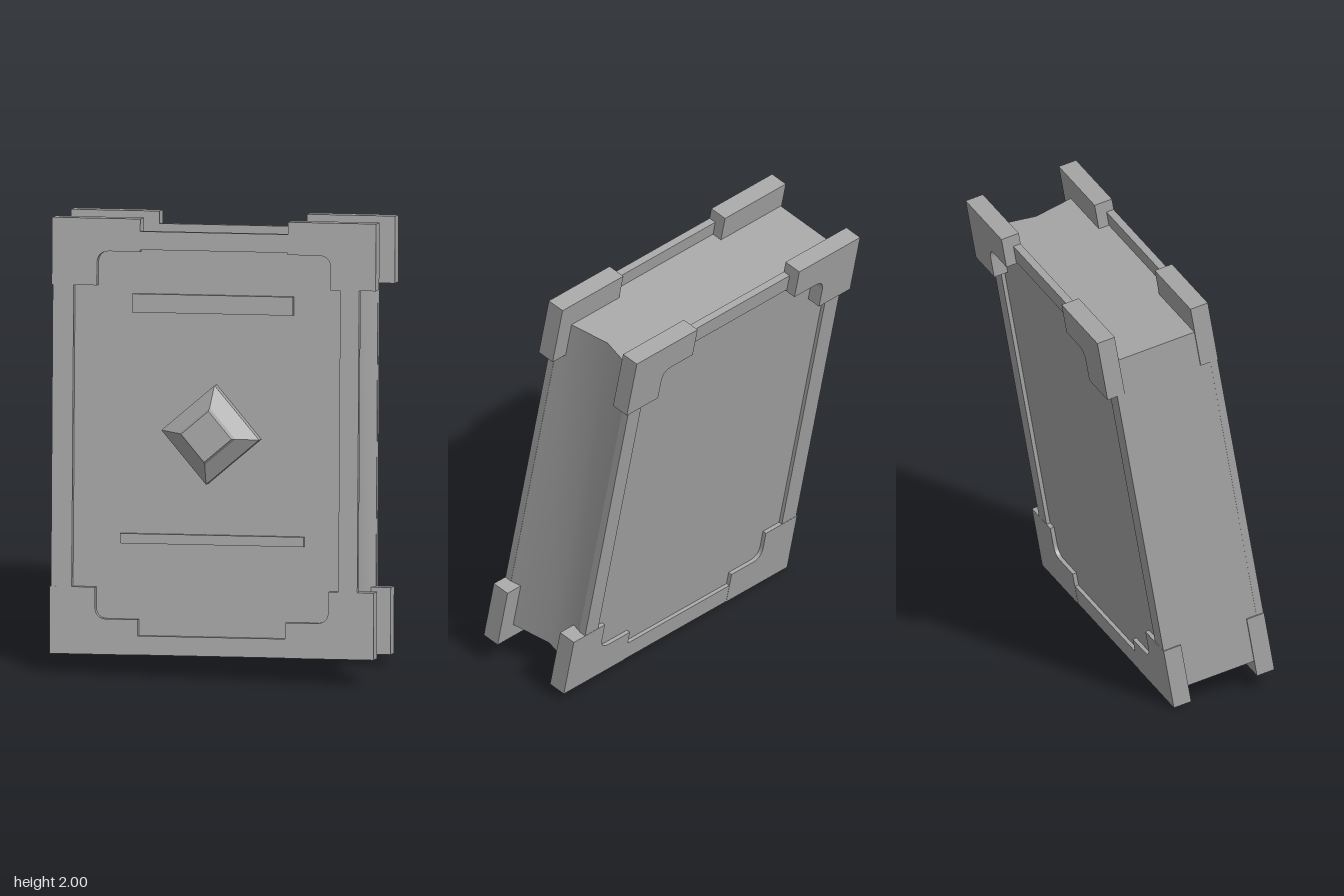
import * as THREE from 'three';
import { toCreasedNormals } from 'three/addons/utils/BufferGeometryUtils.js';

const LEFT = -0.69, RIGHT = 0.743, TOP = 1.934;

export function createModel() {
  const grey = new THREE.MeshStandardMaterial({ color: 0xa6a6a6 });
  grey.name = 'grey';

  const book = new THREE.Group();
  book.name = 'book';

  const add = (parent, name, geometry) => {
    const mesh = new THREE.Mesh(geometry, grey);
    mesh.name = name;
    parent.add(mesh);
    return mesh;
  };
  const box = (parent, name, x0, x1, y0, y1, z0, z1) => {
    const mesh = add(parent, name, new THREE.BoxGeometry(x1 - x0, y1 - y0, z1 - z0));
    mesh.position.set((x0 + x1) / 2, (y0 + y1) / 2, (z0 + z1) / 2);
  };
  const extrude = (shape, depth) =>
    new THREE.ExtrudeGeometry(shape, { depth, bevelEnabled: false, curveSegments: 8 });
  const rectangle = (Type, x0, x1, y0, y1) => {
    const r = new Type();
    r.moveTo(x0, y0).lineTo(x1, y0).lineTo(x1, y1).lineTo(x0, y1).closePath();
    return r;
  };

  // Page block with a flat spine and a hollow fore-edge
  const pages = new THREE.Shape();
  pages.moveTo(-0.684, 0.012);
  pages.lineTo(-0.684, -0.406);
  pages.lineTo(0.669, -0.406);
  pages.lineTo(0.621, -0.175);
  pages.lineTo(0.669, 0.012);
  pages.closePath();
  const pageGeometry = extrude(pages, 1.707);
  pageGeometry.rotateX(-Math.PI / 2);
  pageGeometry.translate(0, 0.105, 0);
  add(book, 'pageBlock', toCreasedNormals(pageGeometry, 0.7));

  // L-shaped corner fitting with a rounded inside corner
  const cornerShape = (x, y, sx, sy, arm) => {
    const s = new THREE.Shape();
    const px = (d) => x + sx * d, py = (d) => y + sy * d;
    const w = 0.2, r = 0.055;
    s.moveTo(x, y);
    s.lineTo(px(0.39), y);
    s.lineTo(px(0.39), py(arm));
    s.lineTo(px(w + r), py(arm));
    s.quadraticCurveTo(px(w), py(arm), px(w), py(arm + r));
    s.lineTo(px(w), py(0.293));
    s.lineTo(x, py(0.293));
    s.closePath();
    return s;
  };

  // Each cover: frame, sunken panel and four corners, measured back from the frame's front.
  // topZ and bottomZ are the rear faces of the upper and lower corners.
  const cover = (name, z, bottom, panelZ, topZ, bottomZ) => {
    const group = new THREE.Group();
    group.name = name;
    group.position.z = z;
    book.add(group);

    const frame = rectangle(THREE.Shape, -0.685, 0.67, bottom + 0.001, 1.88);
    frame.holes.push(rectangle(THREE.Path, -0.593, 0.586, 0.116, 1.8));
    add(group, 'frame', extrude(frame, 0.034)).position.z = -0.035;
    box(group, 'panel', -0.6, 0.595, 0.11, 1.806, panelZ - 0.018, panelZ);

    for (const sx of [1, -1]) {
      const x = sx > 0 ? LEFT : RIGHT;
      add(group, 'upperCorner', extrude(cornerShape(x, TOP, sx, -1, 0.143), 0.083)).position.z = topZ;
      add(group, 'lowerCorner', extrude(cornerShape(x, bottom, sx, 1, 0.155), 0.083)).position.z = bottomZ;
    }
    return group;
  };
  const front = cover('frontCover', 0.44, 0.032, -0.034, -0.083, -0.083);
  cover('backCover', -0.008, 0.025, 0, -0.083, -0.036);

  // Raised bars on the front panel
  box(front, 'upperBar', -0.335, 0.376, 1.526, 1.607, -0.04, -0.008);
  box(front, 'lowerBar', -0.382, 0.43, 0.518, 0.561, -0.04, -0.008);

  // Four-sided gem in stacked tiers: rim, slope, raised top
  const gem = new THREE.Group();
  gem.name = 'gem';
  gem.position.set(0.019, 1.0, 0);
  gem.rotation.z = -0.08;
  front.add(gem);
  const tiers = [[0.217, 0.217, -0.04, 0.018], [0.217, 0.125, 0.018, 0.09], [0.125, 0.112, 0.09, 0.114]];
  for (const [r0, r1, z0, z1] of tiers) {
    const g = new THREE.CylinderGeometry(r1, r0, z1 - z0, 4).toNonIndexed();
    g.computeVertexNormals();
    g.rotateX(Math.PI / 2);
    add(gem, 'gemTier', g).position.z = (z0 + z1) / 2;
  }

  // Lean the book back, with a slight roll and turn
  const right = new THREE.Vector3(1, 0.027, 0.018).normalize();
  const up = new THREE.Vector3(-0.0235, 0.984, -0.178);
  const out = right.clone().cross(up).normalize();
  up.copy(out).cross(right);
  book.quaternion.setFromRotationMatrix(new THREE.Matrix4().makeBasis(right, up, out));

  // Stand on the ground and centre
  const model = new THREE.Group();
  model.name = 'leaningBook';
  model.add(book);
  model.updateMatrixWorld(true);
  const bounds = new THREE.Box3().setFromObject(model, true);
  const centre = bounds.getCenter(new THREE.Vector3());
  book.position.set(-centre.x, -bounds.min.y, -centre.z);
  return model;
}
